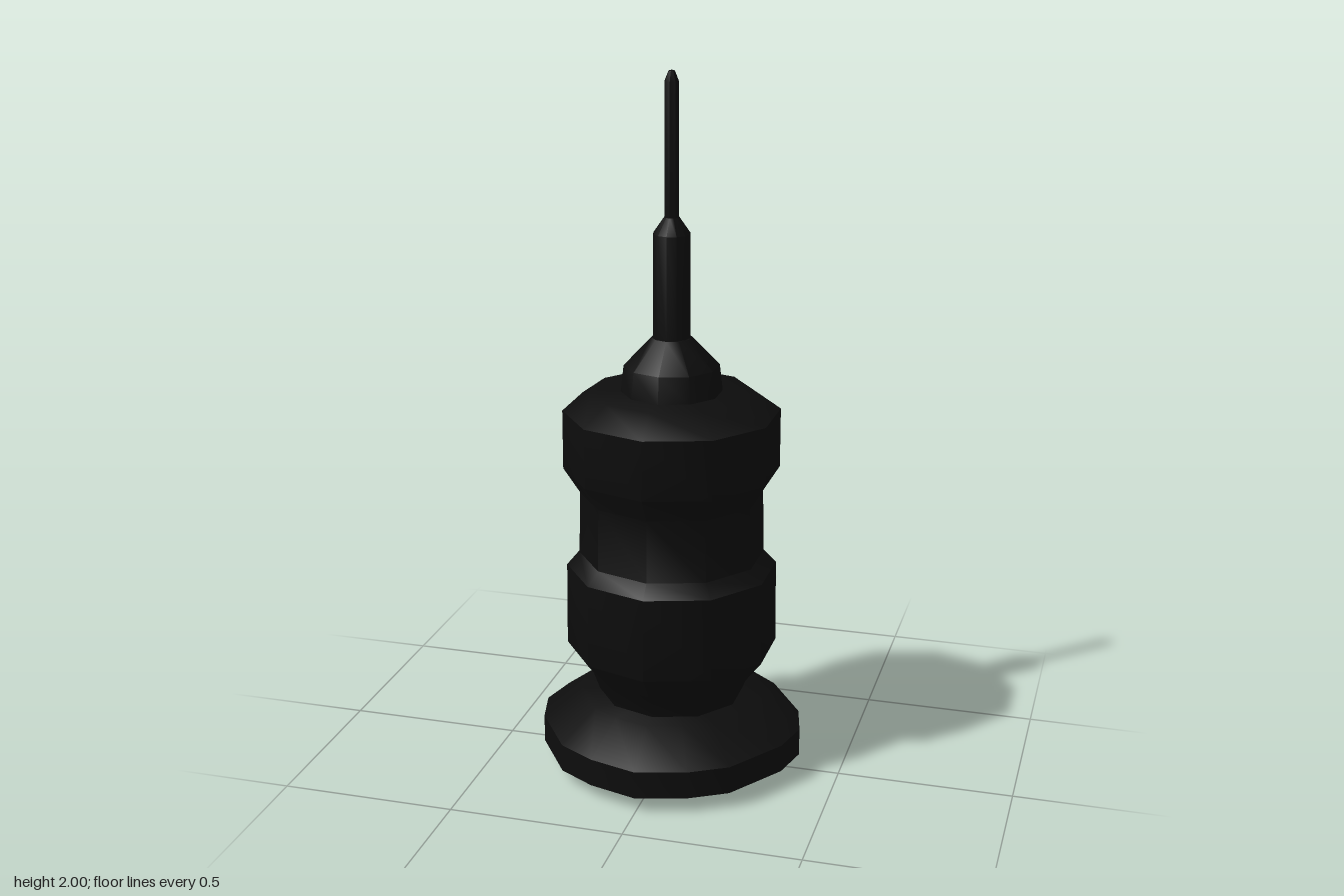
import * as THREE from 'three';
import { toCreasedNormals } from 'three/addons/utils/BufferGeometryUtils.js';

const material = new THREE.MeshStandardMaterial({ color: 0x0d0d0d });

// Turned part from [radius, height] pairs, listed bottom to top
function turned(name, profile, sides = 10, widen = 1, reshape = null) {
  const points = profile.map(([r, y]) => new THREE.Vector2(r, y));
  const geometry = new THREE.LatheGeometry(points, sides);
  geometry.scale(widen, 1, 1);
  if (reshape) reshape(geometry, points);
  const mesh = new THREE.Mesh(toCreasedNormals(geometry, 0.7), material);
  mesh.name = name;
  return mesh;
}

// Uneven sixteen-sided outline of the foot, one quarter mirrored around
const quarter = [[0, 0.38], [0.14, 0.34], [0.245, 0.279], [0.355, 0.115], [0.383, 0]];
function footOutline(geometry, points) {
  const p = geometry.attributes.position;
  for (let i = 0; i < p.count; i++) {
    const column = Math.floor(i / points.length) % 16;
    const { x: r, y } = points[i % points.length];
    const fold = column % 8;
    const [x, z] = quarter[fold <= 4 ? fold : 8 - fold];
    const sx = column <= 8 ? 1 : -1;
    const sz = column > 4 && column < 12 ? -1 : 1;
    p.setXYZ(i, sx * x * r, y, sz * z * r);
  }
}

export function createModel() {
  const group = new THREE.Group();
  group.name = 'tower';

  group.add(
    // Foot radii are fractions of the outline
    turned('foot', [[0, 0], [0.68, 0.005], [1, 0.045], [1, 0.125], [0.7, 0.21], [0, 0.21]], 16, 1, footOutline),
    // Main body with two wide bands
    turned('body', [
      [0.2, 0.2], [0.225, 0.27], [0.293, 0.36], [0.291, 0.6], [0.256, 0.638],
      [0.252, 0.818], [0.297, 0.89], [0.297, 1.06], [0.222, 1.115], [0, 1.115],
    ], 10, 1.03),
    // Shoulder cone, mast and fine tip
    turned('shoulder', [[0.14, 1.11], [0.131, 1.19], [0.056, 1.27], [0, 1.275]], 10, 1.02),
    turned('mast', [[0.053, 1.25], [0.052, 1.56], [0.021, 1.605], [0, 1.605]], 12),
    turned('spire', [[0.021, 1.59], [0.02, 1.97], [0.009, 1.997], [0, 2]], 8),
  );
  return group;
}
